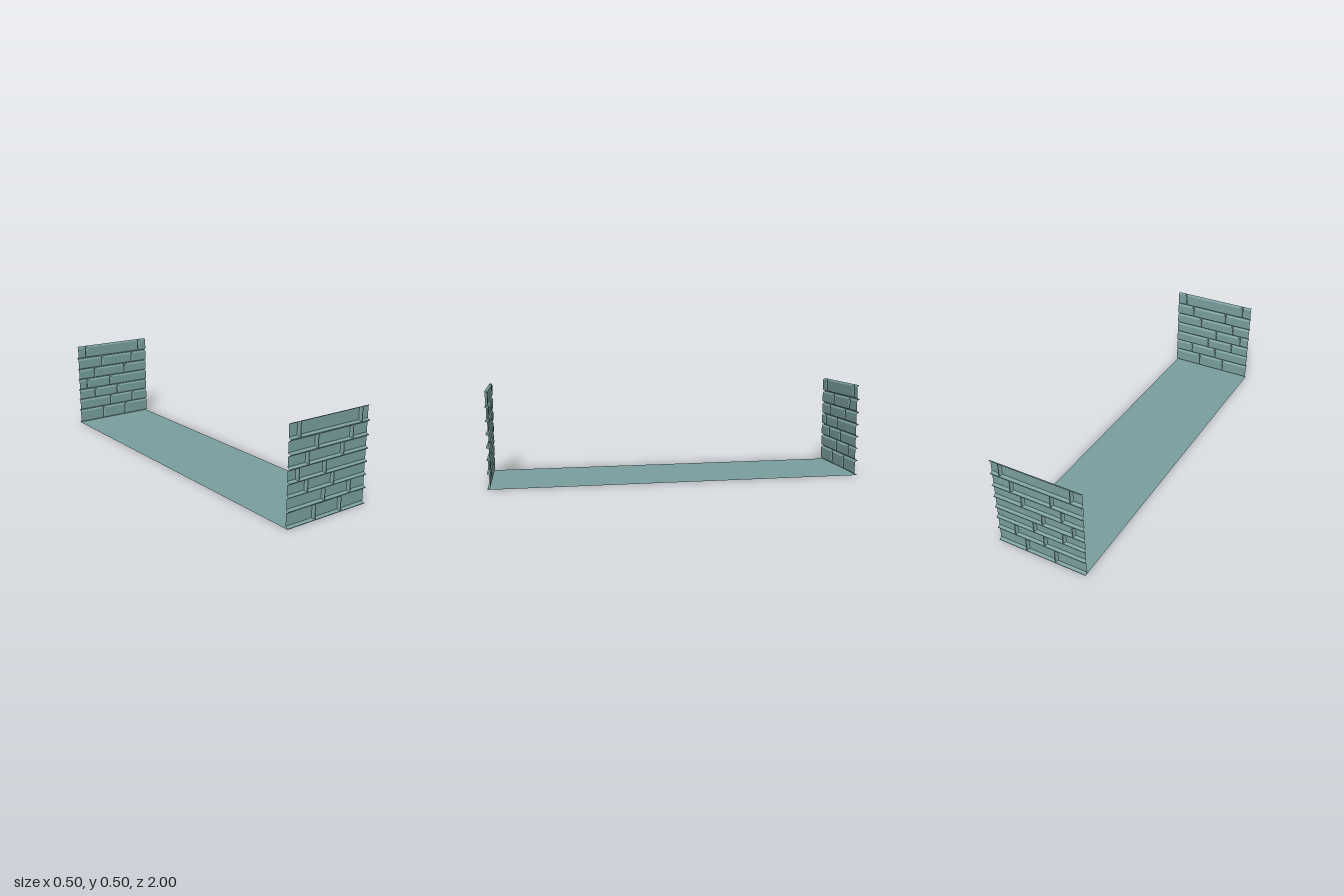
import * as THREE from 'three';

const HALF = 0.25, HEIGHT = 0.5, GAP = 0.0015;

// Each course: bottom, top, and the x of its two upright joints
const COURSES = [
  [0.003, 0.081, -0.080, 0.086],
  [0.085, 0.150, -0.024, 0.143],
  [0.153, 0.215, -0.135, 0.030],
  [0.219, 0.282, -0.191, -0.024],
  [0.286, 0.349, -0.135, 0.086],
  [0.353, 0.420, -0.080, 0.143],
  [0.425, 0.500, -0.191, 0.198],
];

// Rounded brick edge: [inset, depth] from the mortar to the brick face
const BEVEL = [[0, 0], [0.001, 0.006], [0.004, 0.011], [0.009, 0.014]];

const material = new THREE.MeshStandardMaterial({
  color: 0x7a9e9e, flatShading: true, side: THREE.DoubleSide,
});

// Collects quads facing inward, for the wall at z = side
function surface(side) {
  const points = [];
  return {
    quad(a, b, c, d) {
      const q = side > 0 ? [a, d, c, b] : [a, b, c, d];
      for (const i of [0, 1, 2, 0, 2, 3]) {
        const [x, y, depth] = q[i];
        points.push(x, y, side * (1 - depth));
      }
    },
    mesh(name) {
      const geometry = new THREE.BufferGeometry();
      geometry.setAttribute('position', new THREE.Float32BufferAttribute(points, 3));
      geometry.computeVertexNormals();
      const mesh = new THREE.Mesh(geometry, material);
      mesh.name = name;
      return mesh;
    },
  };
}

function flat(s, x0, y0, x1, y1) {
  s.quad([x0, y0, 0], [x1, y0, 0], [x1, y1, 0], [x0, y1, 0]);
}

// Hollow brick shell; its cut ends at the edges of the wall stay open
function brick(side, x0, x1, y0, y1) {
  const s = surface(side);
  const cutLeft = x0 <= -HALF, cutRight = x1 >= HALF;
  const rings = BEVEL.map(([inset, depth]) => {
    const l = x0 + (cutLeft ? 0 : inset), r = x1 - (cutRight ? 0 : inset);
    return [[l, y0 + inset, depth], [r, y0 + inset, depth],
      [r, y1 - inset, depth], [l, y1 - inset, depth]];
  });
  for (let i = 0; i < rings.length - 1; i++) {
    for (let k = 0; k < 4; k++) {
      if ((k === 1 && cutRight) || (k === 3 && cutLeft)) continue;
      const n = (k + 1) % 4;
      s.quad(rings[i][k], rings[i][n], rings[i + 1][n], rings[i + 1][k]);
    }
  }
  s.quad(...rings[rings.length - 1]);
  return s.mesh('brick');
}

function brickWall(side, name) {
  const wall = new THREE.Group();
  wall.name = name;
  const mortar = surface(side);
  let below = 0;
  for (const [y0, y1, j0, j1] of COURSES) {
    // Bed joint under the course, then the upright joints
    flat(mortar, -HALF, below, HALF, y0);
    for (const j of [j0, j1]) flat(mortar, j - GAP, y0, j + GAP, y1);
    below = y1;

    wall.add(
      brick(side, -HALF, j0 - GAP, y0, y1),
      brick(side, j0 + GAP, j1 - GAP, y0, y1),
      brick(side, j1 + GAP, HALF, y0, y1),
    );
  }
  if (below < HEIGHT) flat(mortar, -HALF, below, HALF, HEIGHT);
  wall.add(mortar.mesh('mortar'));
  return wall;
}

export function createModel() {
  const model = new THREE.Group();
  model.name = 'brickWallsWithFloor';

  const floor = new THREE.Mesh(new THREE.PlaneGeometry(2 * HALF, 2), material);
  floor.rotation.x = -Math.PI / 2;
  floor.name = 'floor';

  model.add(floor, brickWall(1, 'frontWall'), brickWall(-1, 'backWall'));
  return model;
}
